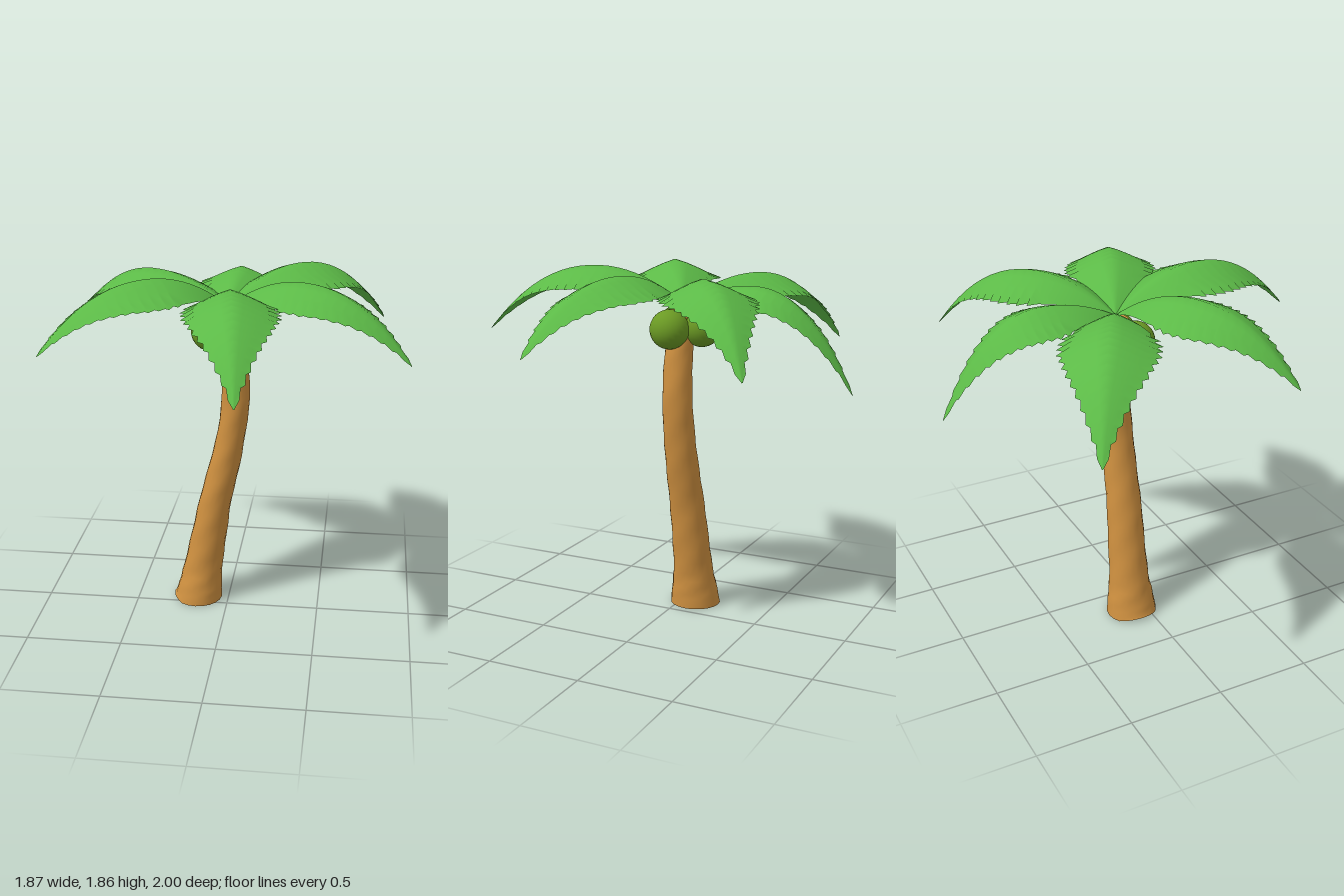
import * as THREE from 'three';

const leafGreen = new THREE.MeshStandardMaterial({ color: 0x5cba47, side: THREE.DoubleSide });
leafGreen.name = 'leafGreen';
const barkBrown = new THREE.MeshStandardMaterial({ color: 0xcd8f3f });
barkBrown.name = 'barkBrown';
const coconutGreen = new THREE.MeshStandardMaterial({ color: 0x6b9a24 });
coconutGreen.name = 'coconutGreen';

const CROWN = new THREE.Vector3(0, 1.68, -0.08);

// Smooth surface through a list of equally long rows of points
function loft(rows, closed) {
  const n = rows[0].length, index = [];
  for (let i = 0; i < rows.length - 1; i++) {
    for (let j = 0; j < (closed ? n : n - 1); j++) {
      const a = i * n + j, b = i * n + (j + 1) % n;
      index.push(a, a + n, b, b, a + n, b + n);
    }
  }
  const g = new THREE.BufferGeometry().setFromPoints(rows.flat());
  g.setIndex(index);
  g.computeVertexNormals();
  return g;
}

function named(name, geometry, material) {
  const mesh = new THREE.Mesh(geometry, material);
  mesh.name = name;
  return mesh;
}

// Piecewise linear lookup in a list of [position, value]
function lookup(table, s) {
  let i = 1;
  while (i < table.length - 1 && s > table[i][0]) i++;
  const [a, b] = [table[i - 1], table[i]];
  return THREE.MathUtils.mapLinear(s, a[0], b[0], a[1], b[1]);
}

// Half width of a frond along its length
const WIDTH = [[0, 0.004], [0.15, 0.1], [0.32, 0.2], [0.42, 0.23], [0.52, 0.225],
  [0.65, 0.18], [0.8, 0.105], [0.9, 0.055], [1, 0.002]];

// Arched, roof-shaped leaf with teeth that point to its tip
function frond(tip, peak, scale) {
  const stations = [];
  for (let i = 0; i < 8; i++) stations.push([i * 0.04, 0]);
  const teeth = 13, start = 0.32, pitch = 0.66 / teeth;
  for (let i = 0; i < teeth; i++) {
    const s = start + i * pitch;
    const depth = 0.017 * (1 - 0.6 * i / teeth);
    stations.push([s, -depth], [s + 0.8 * pitch, depth]);
  }
  stations.push([1, 0]);

  const along = new THREE.Vector3(tip.x - CROWN.x, 0, tip.z - CROWN.z);
  const side = new THREE.Vector3(along.z, 0, -along.x).normalize();
  const rows = stations.map(([s, tooth]) => {
    const w = lookup(WIDTH, s) * scale;
    const y = s < 0.42
      ? peak - (peak - CROWN.y) * ((0.42 - s) / 0.42) ** 2
      : peak - (peak - tip.y) * ((s - 0.42) / 0.58) ** 2.2;
    const row = [];
    for (let j = -4; j <= 4; j++) {
      const v = j / 4;
      const across = v * w + (Math.abs(j) === 4 ? Math.sign(j) * tooth : 0);
      const p = CROWN.clone().addScaledVector(along, s).addScaledVector(side, across);
      p.y = y - 0.44 * w * Math.abs(v) ** 1.2;
      row.push(p);
    }
    return row;
  });
  return loft(rows, false);
}

// Trunk sections: height, centre x, centre z, half width x, half width z
const SECTIONS = [
  [0, -0.17, -0.078, 0.132, 0.137], [0.08, -0.158, -0.078, 0.12, 0.127],
  [0.2, -0.14, -0.078, 0.106, 0.108], [0.4, -0.105, -0.075, 0.096, 0.1],
  [0.6, -0.07, -0.07, 0.087, 0.095], [0.8, -0.022, -0.067, 0.083, 0.089],
  [1.0, 0.018, -0.065, 0.075, 0.084], [1.2, 0.04, -0.065, 0.075, 0.079],
  [1.4, 0.028, -0.065, 0.073, 0.074], [1.55, 0.008, -0.07, 0.067, 0.069],
  [1.66, 0, -0.075, 0.06, 0.06],
];

function trunk() {
  const centres = new THREE.CatmullRomCurve3(SECTIONS.map(([y, x, z]) => new THREE.Vector3(x, y, z)));
  const sizes = new THREE.CatmullRomCurve3(SECTIONS.map(([, , , a, b]) => new THREE.Vector3(a, 0, b)));
  const rows = [], steps = 30, sides = 20;
  for (let i = 0; i <= steps; i++) {
    const c = centres.getPoint(i / steps), r = sizes.getPoint(i / steps), row = [];
    for (let j = 0; j < sides; j++) {
      const t = j / sides * Math.PI * 2;
      const bump = 1 + 0.02 * Math.sin(i * 2.1 + 3 * t) * (i > 2 ? 1 : 0);
      const p = new THREE.Vector3(c.x + r.x * bump * Math.cos(t), c.y, c.z + r.z * bump * Math.sin(t));
      if (i === 0) p.y = 0.02 * Math.max(0, -Math.cos(t) - 0.6) / 0.4;
      row.push(p);
    }
    rows.push(row);
  }
  const group = new THREE.Group();
  group.name = 'trunk';
  group.add(named('bark', loft(rows, true), barkBrown));
  // Flat ends
  const fan = (ring, y, z) => loft([ring.map(() => new THREE.Vector3(ring[0].x * 0.5 + ring[10].x * 0.5, y, z)), ring], true);
  const top = rows[steps];
  group.add(named('trunkBase', fan([...rows[0]].reverse(), 0.003, -0.078), barkBrown));
  group.add(named('trunkTop', fan([...top], 1.66, -0.075), barkBrown));
  // Fans must face away from the trunk
  group.children.slice(1).forEach((mesh, k) => {
    const want = k === 0 ? -1 : 1;
    const normal = mesh.geometry.attributes.normal;
    if (normal.getY(normal.count - 1) * want < 0) {
      mesh.geometry.setIndex([...mesh.geometry.index.array].reverse());
      mesh.geometry.computeVertexNormals();
    }
  });
  return group;
}

export function createModel() {
  const model = new THREE.Group();
  model.name = 'palmTree';
  model.add(trunk());

  // Fronds: tip x, y, z, height of the arch, width scale
  const fronds = new THREE.Group();
  fronds.name = 'fronds';
  [
    [0.03, 1.29, -1, 1.79, 0.88],
    [0.8, 1.47, -0.74, 1.85, 1],
    [0.93, 1.51, 0.31, 1.85, 1],
    [0.15, 1.5, 1, 1.86, 1],
    [-0.88, 1.53, 0.44, 1.86, 1],
    [-0.94, 1.41, -0.61, 1.81, 1.02],
  ].forEach(([x, y, z, peak, scale], i) => {
    fronds.add(named(`frond${i + 1}`, frond(new THREE.Vector3(x, y, z), peak, scale), leafGreen));
  });
  model.add(fronds);

  // Coconuts under the crown
  [[-0.085, 1.56, -0.015], [0.083, 1.555, -0.04], [-0.03, 1.56, -0.17]].forEach((p, i) => {
    const nut = named(`coconut${i + 1}`, new THREE.SphereGeometry(0.102, 24, 16), coconutGreen);
    nut.position.set(...p);
    model.add(nut);
  });
  return model;
}
